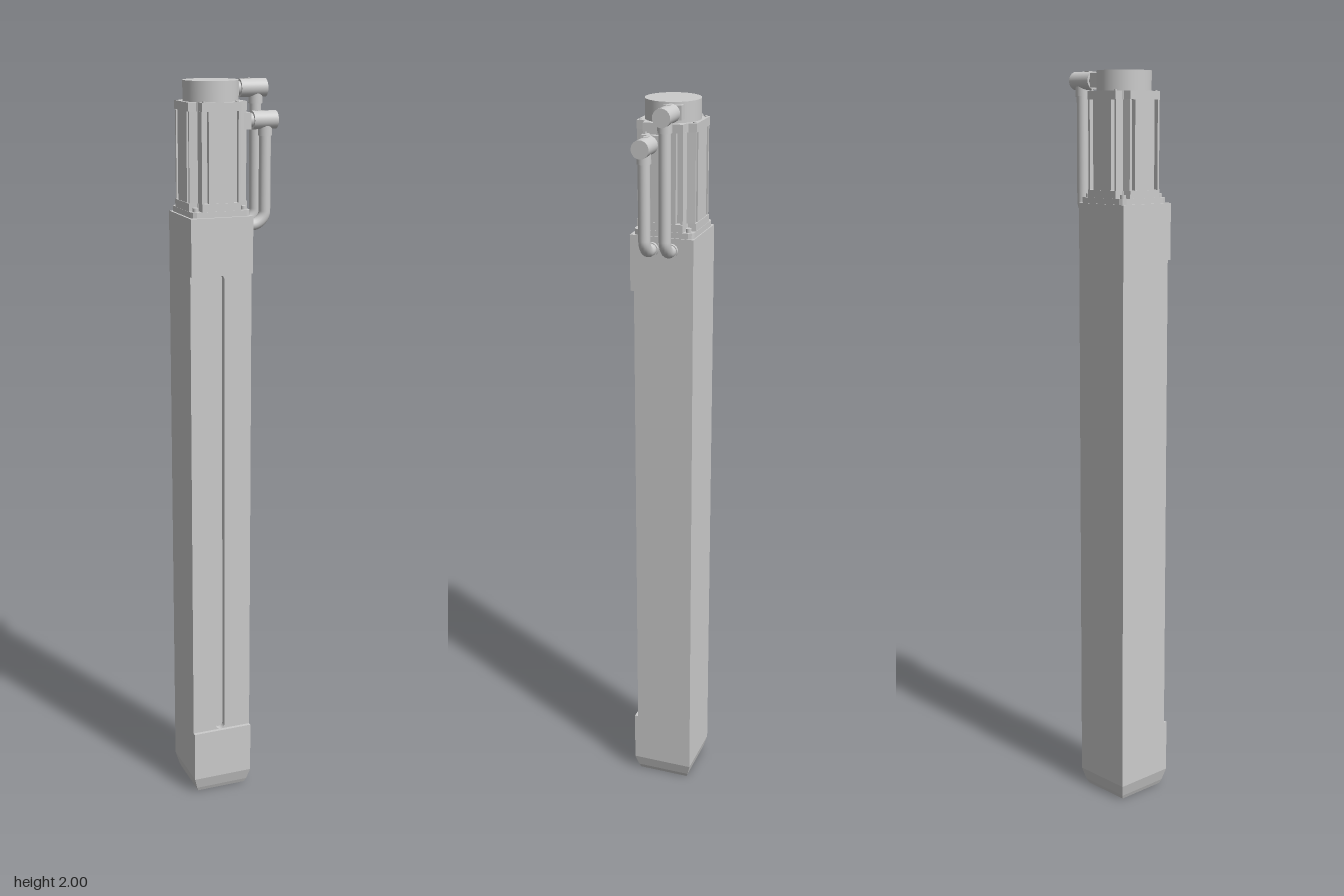
import * as THREE from 'three';

const grey = new THREE.MeshStandardMaterial({ color: 0xcccccc });

export function createModel() {
  const root = new THREE.Group();
  const add = (name, geo, x = 0, y = 0, z = 0, parent = root) => {
    const m = new THREE.Mesh(geo, grey);
    m.name = name;
    m.position.set(x, y, z);
    parent.add(m);
    return m;
  };
  // Box given by its limits
  const box = (name, x0, x1, y0, y1, z0, z1, parent) =>
    add(name, new THREE.BoxGeometry(x1 - x0, y1 - y0, z1 - z0),
      (x0 + x1) / 2, (y0 + y1) / 2, (z0 + z1) / 2, parent);
  // Upright and sideways cylinders
  const post = (name, x, z, r, y0, y1, parent, seg = 24) =>
    add(name, new THREE.CylinderGeometry(r, r, y1 - y0, seg), x, (y0 + y1) / 2, z, parent);
  const barrel = (name, x0, x1, y, z, r, parent) => {
    const m = add(name, new THREE.CylinderGeometry(r, r, x1 - x0, 32), (x0 + x1) / 2, y, z, parent);
    m.rotation.z = -Math.PI / 2;
    return m;
  };
  // Plan outline (x, z) raised from y0 to y1
  const prism = (name, pts, x, z, y0, y1, parent) => {
    const g = new THREE.ExtrudeGeometry(new THREE.Shape(pts.map(p => new THREE.Vector2(p[0], p[1]))),
      { depth: y1 - y0, bevelEnabled: false });
    g.rotateX(-Math.PI / 2);
    return add(name, g, x, y0, z, parent);
  };
  // Repeats one side's outline around all four sides
  const fourSides = side => [0, 1, 2, 3].flatMap(k => side.map(([a, b]) => {
    const c = [1, 0, -1, 0][k], s = [0, 1, 0, -1][k];
    return [a * c - b * s, a * s + b * c];
  }));

  const L = -0.128, R = 0.043, B = -0.088, F = 0.075, CAP = 0.085, TOP = 1.66;
  const CX = (L + R) / 2;

  // Actuator column, with a slotted front plate
  box('column', L, R, 0.19, TOP, B, 0.058);
  const plate = new THREE.Shape([[L, 0.19], [R, 0.19], [R, 1.51], [L, 1.51]].map(p => new THREE.Vector2(...p)));
  const slot = new THREE.Path();
  const sr = 0.013;
  slot.absarc(CX - 0.004, 1.51 - sr, sr, 0, Math.PI, false);
  slot.absarc(CX - 0.004, 0.19 + sr, sr, Math.PI, 2 * Math.PI, false);
  plate.holes.push(slot);
  add('slottedFrontPlate', new THREE.ExtrudeGeometry(plate,
    { depth: F - 0.058, bevelEnabled: false, curveSegments: 10 }), 0, 0, 0.058);
  box('upperFrontBlock', L, R, 1.51, TOP, 0.058, CAP);

  // Foot, tapering in near the ground
  let foot = new THREE.BoxGeometry(R - L, 0.19, CAP - B, 1, 4, 1);
  const rings = [[0, 0.014], [0.012, 0.009], [0.045, 0], [0.1, 0], [0.19, 0]];
  const fp = foot.attributes.position;
  for (let i = 0; i < fp.count; i++) {
    const [y, inset] = rings[Math.round((fp.getY(i) / 0.19 + 0.5) * 4)];
    fp.setXYZ(i, fp.getX(i) - Math.sign(fp.getX(i)) * inset, y,
      fp.getZ(i) - Math.sign(fp.getZ(i)) * inset);
  }
  foot = foot.toNonIndexed();
  foot.computeVertexNormals();
  add('foot', foot, CX, 0, (CAP + B) / 2);

  // Motor: ribbed housing between two flanges
  const motor = new THREE.Group();
  motor.name = 'motor';
  root.add(motor);
  const MX = -0.041, MZ = -0.004;
  const flange = fourSides([[0.081, -0.068], [0.081, 0.068], [0.077, 0.077]]);
  const notched = fourSides([[0.08, -0.053], [0.08, 0.053], [0.059, 0.055], [0.055, 0.059]]);
  const ribbed = fourSides([[0.078, -0.053], [0.078, -0.047], [0.066, -0.047], [0.066, -0.034],
    [0.078, -0.034], [0.078, 0.034], [0.066, 0.034], [0.066, 0.047], [0.078, 0.047],
    [0.078, 0.053], [0.056, 0.056]]);
  prism('mountingFlange', flange, MX, MZ, TOP, 1.675, motor);
  prism('lowerEndPlate', notched, MX, MZ, 1.675, 1.695, motor);
  prism('ribbedHousing', ribbed, MX, MZ, 1.695, 1.925, motor);
  prism('upperEndPlate', notched, MX, MZ, 1.925, 1.947, motor);
  post('encoderCover', MX, MZ, 0.072, 1.947, 1.999, motor, 64);
  for (const sx of [-1, 1]) for (const sz of [-1, 1]) {
    post('flangeBolt', MX + sx * 0.066, MZ + sz * 0.065, 0.0075, 1.675, 1.685, motor, 16);
    post('endPlateScrew', MX + sx * 0.045, MZ + sz * 0.072, 0.004, 1.947, 1.95, motor, 12);
  }

  // Plug and cable, the cable bending back into the column
  const connector = (name, z, y, plugStart, plugEnd, cableX, r) => {
    const g = new THREE.Group();
    g.name = name;
    root.add(g);
    barrel('collar', plugStart - 0.014, plugStart + 0.002, y, z, r * 0.75, g);
    barrel('plug', plugStart, plugEnd, y, z, r, g);
    box('plugKey', plugStart + 0.013, plugStart + 0.032, y + r - 0.004, y + r + 0.001, z - 0.006, z + 0.006, g);
    post('cableNut', cableX, z, 0.0185, y - r - 0.016, y - r * 0.5, g);
    const bend = 0.035, low = 1.628;
    const path = new THREE.CurvePath();
    const v = (a, b) => new THREE.Vector3(a, b, z);
    path.add(new THREE.LineCurve3(v(cableX, y - r * 0.5), v(cableX, low + bend)));
    path.add(new THREE.CubicBezierCurve3(v(cableX, low + bend), v(cableX, low + bend * 0.45),
      v(cableX - bend * 0.55, low), v(cableX - bend, low)));
    path.add(new THREE.LineCurve3(v(cableX - bend, low), v(R - 0.005, low)));
    add('cable', new THREE.TubeGeometry(path, 80, 0.0155, 16, false), 0, 0, 0, g);
    barrel('cableGland', R - 0.002, R + 0.008, low, z, 0.018, g);
    return g;
  };
  const rear = connector('encoderConnector', -0.029, 1.975, 0.047, 0.12, 0.093, 0.0235);
  box('socket', 0.0, 0.037, 1.957, 1.993, -0.052, -0.004, rear);
  const front = connector('powerConnector', 0.024, 1.897, 0.062, 0.128, 0.099, 0.0235);
  box('socket', 0.012, 0.051, 1.876, 1.918, 0.0, 0.05, front);

  return root;
}
